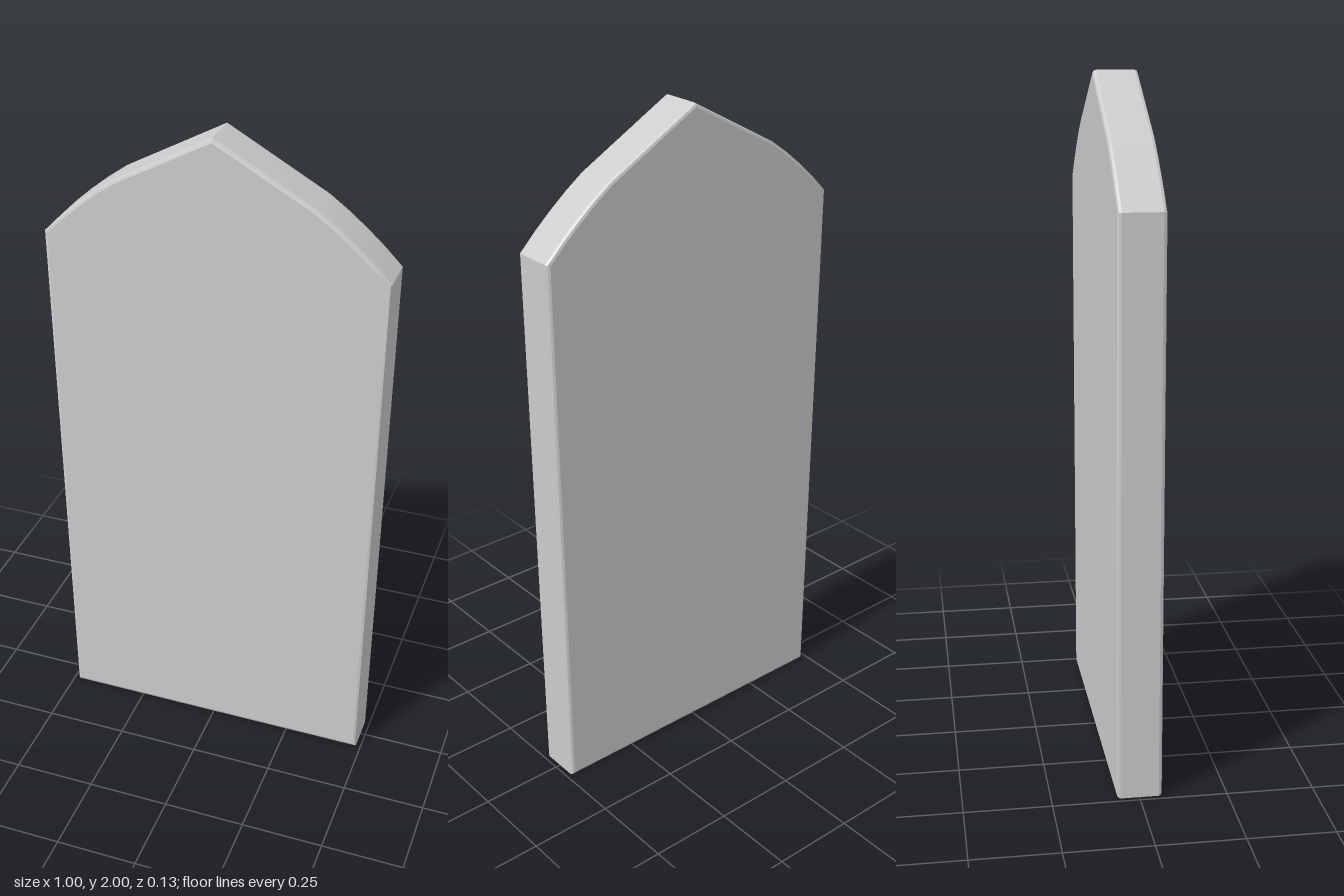
import * as THREE from 'three';
import { toCreasedNormals } from 'three/addons/utils/BufferGeometryUtils.js';

const DEPTH = 0.13;
const BEVEL = 0.01;

// Right half of the outline, from the foot up to the shoulder and along the curved top
const HALF = [[0.485, 0], [0.5, 1.66], [0.45, 1.71], [0.4, 1.755], [0.345, 1.80], [0.29, 1.84]];

export function createModel() {
  const group = new THREE.Group();
  group.name = 'pointedSlab';

  // Mirrored outline with a single point at the apex
  const right = HALF.map(([x, y]) => new THREE.Vector2(x, y));
  const left = HALF.map(([x, y]) => new THREE.Vector2(-x, y)).reverse();
  const outline = new THREE.Shape([...right, new THREE.Vector2(0, 2), ...left]);

  // Thin slab with softened front and back edges, kept inside the outline
  const slab = new THREE.ExtrudeGeometry(outline, {
    depth: DEPTH - 2 * BEVEL,
    bevelEnabled: true,
    bevelSize: BEVEL,
    bevelThickness: BEVEL,
    bevelOffset: -BEVEL,
    bevelSegments: 2,
  });
  slab.translate(0, 0, -DEPTH / 2 + BEVEL);

  // Smooth along the curved top, sharp at the apex, shoulders and edges
  const mesh = new THREE.Mesh(
    toCreasedNormals(slab, 0.3),
    new THREE.MeshStandardMaterial({ color: 0xcccccc }),
  );
  mesh.name = 'slab';
  group.add(mesh);
  return group;
}
